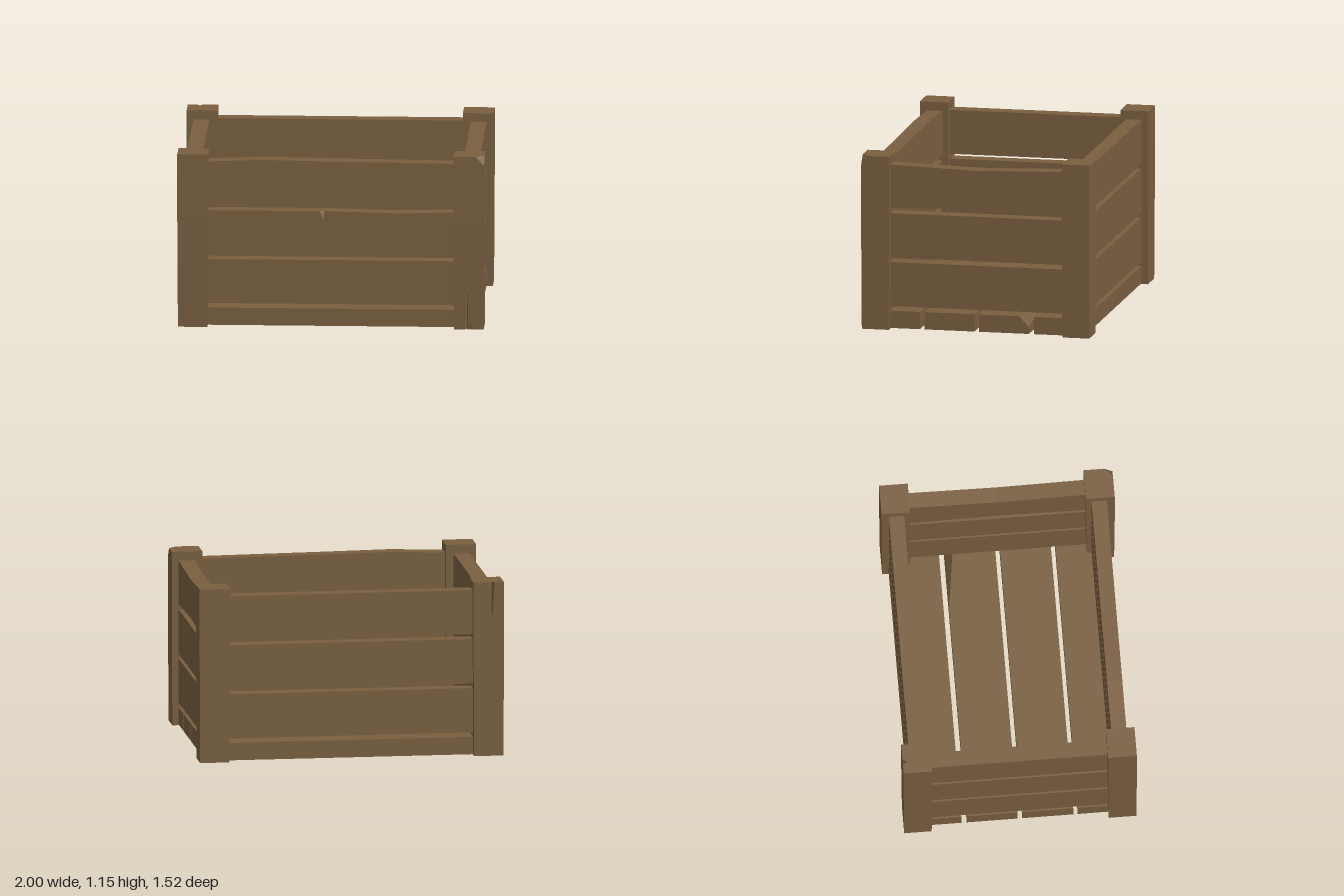
import * as THREE from 'three';

const wood = new THREE.MeshStandardMaterial({ color: 0x7a5f40 });
wood.name = 'wood';

// Skin a list of { t, ring } cross-sections and cap both ends, with flat faces
function loft(stations, place) {
  const pos = [];
  const tri = (a, b, c) => pos.push(...a, ...b, ...c);
  const rings = stations.map(({ t, ring }) => ring.map(([u, v]) => place(t, u, v)));
  const n = rings[0].length;
  for (let s = 0; s < rings.length - 1; s++) {
    for (let i = 0; i < n; i++) {
      const j = (i + 1) % n;
      const a = rings[s][i], b = rings[s][j], c = rings[s + 1][j], d = rings[s + 1][i];
      tri(a, b, c);
      tri(a, c, d);
    }
  }
  for (const end of [0, rings.length - 1]) {
    const outline = stations[end].ring.map(([u, v]) => new THREE.Vector2(u, v));
    for (const [a, b, c] of THREE.ShapeUtils.triangulateShape(outline, [])) {
      const r = rings[end];
      if (end) tri(r[a], r[b], r[c]);
      else tri(r[a], r[c], r[b]);
    }
  }
  const geo = new THREE.BufferGeometry();
  geo.setAttribute('position', new THREE.Float32BufferAttribute(pos, 3));
  geo.computeVertexNormals();
  return geo;
}

// Upright post; cracks are [x, halfWidth, depth] on its +z face, chip cuts its +x +z corner
const HEIGHT = 1.15;
function post(levels) {
  return loft(levels.map(({ y, cracks = [], chip = 0 }) => {
    const k = 0.96 + 0.04 * Math.min(1, y / 0.7);
    const a = 0.1 * k, b = 0.0935 * k;
    const ring = [[-b, -a], [b, -a]];
    for (const [x, w, d] of cracks) ring.push([b, x - w], [b - d, x], [b, x + w]);
    ring.push([b, a - chip], [b - chip, a], [-b, a]);
    return { t: y, ring };
  }), (t, u, v) => [v, t, u]);
}

// Plank along x; each station is [x, bottom shift, top shift, chip height, chip depth]
function plank(y0, y1, width, stations) {
  const h = width / 2;
  return loft(stations.map(([x, lo = 0, hi = 0, cy = 0, cz = 0]) => ({
    t: x,
    ring: [[y0 + lo, -h], [y1 + hi, -h], [y1 + hi, h - cz], [y1 + hi - cy, h], [y0 + lo, h]],
  })), (t, u, v) => [t, u, v]);
}

export function createModel() {
  const crate = new THREE.Group();
  crate.name = 'crate';
  const add = (name, geo, x, z, turn = 0) => {
    const mesh = new THREE.Mesh(geo, wood);
    mesh.name = name;
    mesh.position.set(x, 0, z);
    mesh.rotation.y = turn;
    crate.add(mesh);
  };

  // Corner posts: two plain, one split at the foot with a broken corner, one split at the top
  const PX = 0.9, PZ = 0.668;
  const plain = [{ y: 0 }, { y: 0.7 }, { y: HEIGHT }];
  add('frontRightPost', post(plain), -PX, PZ);
  add('backLeftPost', post(plain), PX, -PZ);
  add('frontLeftPost', post([
    { y: 0, cracks: [[-0.014, 0.011, 0.02], [0.012, 0.007, 0.015]] },
    { y: 0.07, cracks: [[-0.013, 0.008, 0.015], [0.01, 0, 0]] },
    { y: 0.28, cracks: [[-0.01, 0, 0], [0.01, 0, 0]] },
    { y: 0.7, cracks: [[-0.01, 0, 0], [0.01, 0, 0]] },
    { y: 1.09, cracks: [[-0.01, 0, 0], [0.01, 0, 0]] },
    { y: HEIGHT, cracks: [[-0.01, 0, 0], [0.01, 0, 0]], chip: 0.054 },
  ]), PX, PZ);
  add('backRightPost', post([
    { y: 0, cracks: [[0.02, 0, 0]] },
    { y: 0.7, cracks: [[0.02, 0, 0]] },
    { y: 0.88, cracks: [[0.02, 0, 0]] },
    { y: HEIGHT, cracks: [[0.02, 0.018, 0.028]] },
  ]), -PX, -PZ, Math.PI);

  // Wall slats, three rows; a few are warped or chipped
  const rows = [[0.15, 0.443], [0.473, 0.768], [0.8, 1.092]];
  const long = [[-0.82], [0.82]], short = [[-0.6], [0.6]];
  const frontStations = [
    long,
    [[-0.82], [-0.075], [-0.045, 0, 0, 0.06, 0.02], [0, 0, 0, 0, 0], [0.45, 0.01, -0.01], [0.82]],
    [[-0.82], [-0.45, 0.01, 0.014], [0, 0.004, 0.008], [0.82]],
  ];
  const dip = [[-0.6], [-0.3, 0.01, -0.01], [0, 0.018, -0.018], [0.3, 0.01, -0.01], [0.6]];
  rows.forEach(([y0, y1], i) => {
    add('frontSlat', plank(y0, y1, 0.1, frontStations[i]), 0, 0.66);
    add('backSlat', plank(y0, y1, 0.1, long), 0, -0.664, Math.PI);
    add('leftSlat', plank(y0, y1, 0.104, i === 2 ? dip : short), 0.903, 0, Math.PI / 2);
    add('rightSlat', plank(y0, y1, 0.104, short), -0.903, 0, -Math.PI / 2);
  });

  // Floor boards, one with a splintered corner
  const floorEnd = 0.955;
  [0.545, 0.183, -0.18, -0.548].forEach((z, i) => {
    const stations = i === 2
      ? [[-floorEnd, 0, 0, 0.07, 0.065], [-0.48], [floorEnd]]
      : [[-floorEnd], [floorEnd]];
    add('floorBoard', plank(0.005, 0.12, 0.333, stations), 0, z, Math.PI);
  });

  return crate;
}
